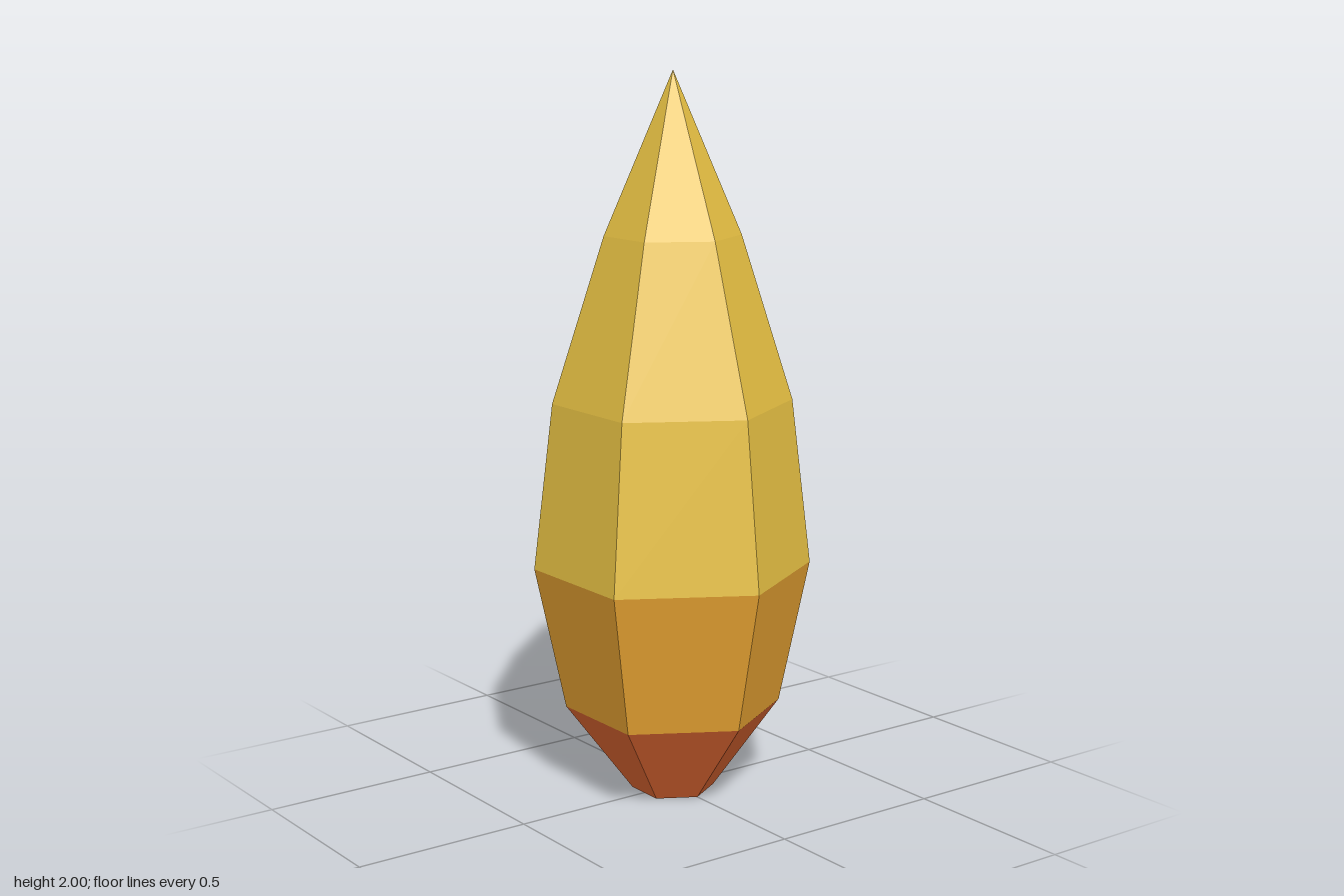
import * as THREE from 'three';

const SIDES = 6;

const red = new THREE.MeshStandardMaterial({ name: 'emberRed', color: 0xff773a, flatShading: true });
const orange = new THREE.MeshStandardMaterial({ name: 'warmOrange', color: 0xffb438, flatShading: true });
const yellow = new THREE.MeshStandardMaterial({ name: 'goldenYellow', color: 0xffd54b, flatShading: true });

// One hexagonal ring segment with corners on the x axis and faceted sides
function segment(name, material, [r0, y0], [r1, y1], open = true) {
  const geometry = new THREE.CylinderGeometry(r1, r0, y1 - y0, SIDES, 1, open, Math.PI / 6)
    .translate(0, (y0 + y1) / 2, 0)
    .toNonIndexed();
  geometry.computeVertexNormals();
  const mesh = new THREE.Mesh(geometry, material);
  mesh.name = name;
  return mesh;
}

export function createModel() {
  const flame = new THREE.Group();
  flame.name = 'flame';

  // Radius and height of each ring, from the base to the tip
  const rings = [[0.115, 0], [0.3, 0.245], [0.384, 0.643], [0.33, 1.105], [0.187, 1.56], [0, 2]];
  const parts = [
    ['base', red],
    ['lowerBody', orange],
    ['middleBody', yellow],
    ['upperBody', yellow],
    ['tip', yellow],
  ];
  // Only the base needs a cap underneath; its top cap stays hidden inside
  parts.forEach(([name, material], i) =>
    flame.add(segment(name, material, rings[i], rings[i + 1], i > 0)));

  return flame;
}
